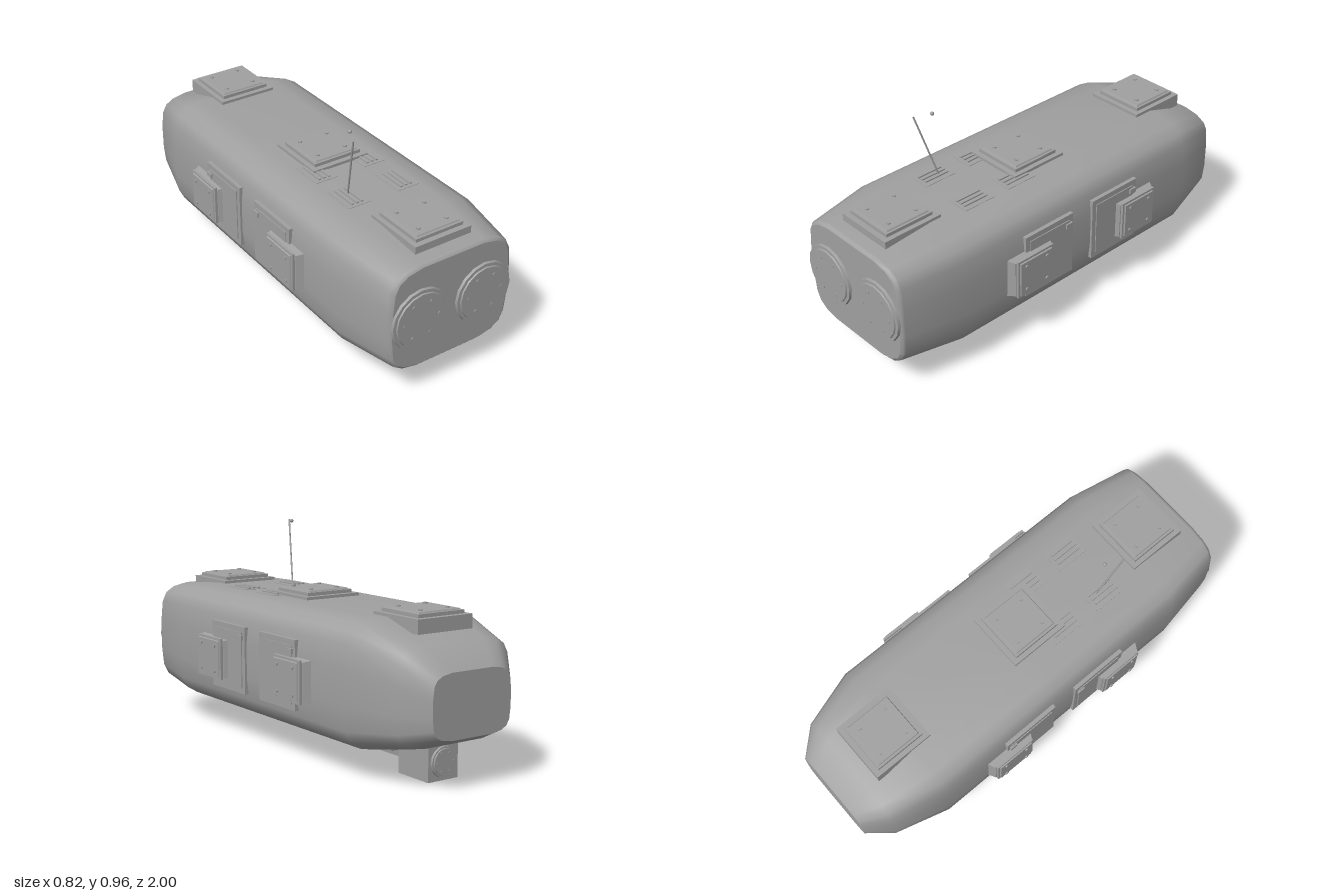
import * as THREE from 'three';

const hullGrey = new THREE.MeshStandardMaterial({ color: 0xa0a0a0 });
hullGrey.name = 'hullGrey';

// rounded-rectangle section, one quarter, normalised
const QUARTER = [[1, 0.28], [0.97, 0.65], [0.9, 0.83], [0.76, 0.94], [0.52, 1]];
const back = [...QUARTER].reverse();
const SECTION = [
  ...QUARTER,
  ...back.map(([x, y]) => [-x, y]),
  ...QUARTER.map(([x, y]) => [-x, -y]),
  ...back.map(([x, y]) => [x, -y]),
];

// skin through sections [z, halfWidth, bottom, top], running front to back
function loft(sections, capFront, capBack) {
  const pos = [], idx = [], n = SECTION.length;
  const ring = ([z, a, y0, y1]) => {
    const start = pos.length / 3;
    for (const [x, y] of SECTION) pos.push(x * a, (y0 + y1) / 2 + y * (y1 - y0) / 2, z);
    return start;
  };
  const starts = sections.map(ring);
  for (let i = 0; i + 1 < starts.length; i++) {
    for (let j = 0; j < n; j++) {
      const k = (j + 1) % n, p = starts[i], q = starts[i + 1];
      idx.push(p + j, q + j, p + k, p + k, q + j, q + k);
    }
  }
  const cap = (s, front) => {
    const r = ring(s), c = pos.length / 3;
    pos.push(0, (s[2] + s[3]) / 2, s[0]);
    for (let j = 0; j < n; j++) {
      const k = (j + 1) % n;
      idx.push(c, front ? r + j : r + k, front ? r + k : r + j);
    }
  };
  if (capFront) cap(sections[0], true);
  if (capBack) cap(sections[sections.length - 1], false);
  const g = new THREE.BufferGeometry();
  g.setAttribute('position', new THREE.Float32BufferAttribute(pos, 3));
  g.setIndex(idx);
  g.computeVertexNormals();
  return g;
}

function add(parent, name, geometry, x = 0, y = 0, z = 0) {
  const m = new THREE.Mesh(geometry, hullGrey);
  m.name = name;
  m.position.set(x, y, z);
  parent.add(m);
  return m;
}

// box whose top (+y) is scaled by sx, sz
function frustum(w, h, d, sx, sz) {
  const g = new THREE.BoxGeometry(w, h, d).toNonIndexed();
  const p = g.attributes.position;
  for (let i = 0; i < p.count; i++) {
    if (p.getY(i) > 0) p.setXYZ(i, p.getX(i) * sx, p.getY(i), p.getZ(i) * sz);
  }
  g.computeVertexNormals();
  return g;
}

const bolt = (r, h = 0.012) => new THREE.CylinderGeometry(r, r, h, 6);

// stacked plates with four bolts, facing +y from y = 0
function hatch(name, w, d, step, boltX, boltZ, boltR) {
  const g = new THREE.Group();
  g.name = name;
  add(g, 'hatchPlate', new THREE.BoxGeometry(w, step, d), 0, step / 2, 0);
  add(g, 'hatchCover', frustum(w - 0.02, 0.006, d - 0.02, 0.97, 0.97), 0, step + 0.003, 0);
  for (const x of [-boltX, boltX])
    for (const z of [-boltZ, boltZ]) add(g, 'hatchBolt', bolt(boltR), x, step + 0.006, z);
  return g;
}

// round bolted plate facing +y from y = 0
function roundPort(name, r, h, boltRing, boltR) {
  const g = new THREE.Group();
  g.name = name;
  add(g, 'portRim', new THREE.CylinderGeometry(r * 0.98, r, h, 16), 0, h / 2, 0);
  add(g, 'portCover', new THREE.CylinderGeometry(r * 0.86, r * 0.88, h * 0.6, 16), 0, h * 1.2, 0);
  for (let i = 0; i < 6; i++) {
    const a = i * Math.PI / 3;
    add(g, 'portBolt', bolt(boltR, 0.006), Math.cos(a) * boltRing, h * 1.5, Math.sin(a) * boltRing);
  }
  return g;
}

export function createModel() {
  const model = new THREE.Group();
  model.name = 'capsule';

  // hull and bevelled nose plate
  add(model, 'hull', loft([
    [0.96, 0.305, 0.14, 0.63], [0.68, 0.355, 0.115, 0.655], [0, 0.355, 0.115, 0.655],
    [-0.64, 0.355, 0.115, 0.655], [-0.89, 0.288, 0.166, 0.579], [-1, 0.2, 0.214, 0.482],
  ], false, true));
  add(model, 'nosePlate', loft([
    [0.977, 0.292, 0.15, 0.618], [0.97, 0.303, 0.142, 0.628], [0.96, 0.305, 0.14, 0.63],
  ], true, false));

  // two round ports on the nose
  for (const s of [-1, 1]) {
    const port = roundPort('nosePort', 0.141, 0.012, 0.086, 0.009);
    port.rotation.x = Math.PI / 2;
    port.position.set(s * 0.16, 0.383, 0.976);
    model.add(port);
  }

  // roof hatches
  for (const z of [0.765, 0.07, -0.69]) {
    add(model, 'roofHatchBase', new THREE.BoxGeometry(0.28, 0.06, 0.285), 0, 0.638, z);
    const h = hatch('roofHatch', 0.236, 0.236, 0.015, 0.07, 0.07, 0.009);
    h.position.set(0, 0.668, z);
    model.add(h);
  }

  // roof vents with slats
  for (const x of [-0.125, 0.125]) {
    for (const z of [0.445, 0.208]) {
      add(model, 'roofVent', new THREE.BoxGeometry(0.11, 0.02, 0.157), x, 0.647, z);
      for (const dx of [-0.024, 0, 0.024])
        add(model, 'ventSlat', new THREE.BoxGeometry(0.012, 0.008, 0.125), x + dx, 0.659, z);
    }
  }

  // antenna and its tip
  const foot = new THREE.Vector3(-0.113, 0.65, 0.42), tip = new THREE.Vector3(-0.155, 0.957, 0.51);
  add(model, 'antenna', new THREE.TubeGeometry(new THREE.LineCurve3(foot, tip), 1, 0.004, 8));
  add(model, 'antennaTip', new THREE.SphereGeometry(0.009, 10, 8), -0.12, 0.957, 0.437);

  // doors and side hatches, both sides
  for (const s of [-1, 1]) {
    for (const [doorZ, hatchZ] of [[0.222, 0.335], [-0.172, -0.293]]) {
      add(model, 'doorFrame', new THREE.BoxGeometry(0.03, 0.3, 0.275), s * 0.35, 0.385, doorZ);
      add(model, 'door', new THREE.BoxGeometry(0.01, 0.25, 0.23), s * 0.364, 0.385, doorZ);
      add(model, 'doorHandle', new THREE.BoxGeometry(0.012, 0.022, 0.036), s * 0.37, 0.487, doorZ - 0.108);

      const side = new THREE.Group();
      side.name = 'sideHatch';
      add(side, 'sideHatchBase', frustum(0.19, 0.05, 0.26, 0.88, 0.8), 0, -0.025, 0);
      side.add(hatch('sideHatchCover', 0.185, 0.2, 0.012, 0.058, 0.058, 0.008));
      side.rotation.z = -s * Math.PI / 2;
      side.position.set(s * 0.387, 0.373, hatchZ);
      model.add(side);
    }
  }

  // keel beam, narrower at its lower edge
  const keel = add(model, 'keel', frustum(0.05, 0.085, 1.375, 0.62, 1), 0, 0.0875, 0.0825);
  keel.rotation.z = Math.PI;

  // belly hatches
  for (const z of [0.475, -0.51]) {
    add(model, 'bellyHatchBase', new THREE.BoxGeometry(0.175, 0.03, 0.18), 0, 0.109, z);
    const h = hatch('bellyHatch', 0.145, 0.15, 0.012, 0.042, 0.045, 0.008);
    h.rotation.x = Math.PI;
    h.position.set(0, 0.095, z);
    model.add(h);
  }

  // rear thruster box with a round port
  add(model, 'thrusterBox', new THREE.BoxGeometry(0.154, 0.165, 0.19), 0, 0.0845, -0.735);
  const port = roundPort('thrusterPort', 0.066, 0.01, 0.042, 0.006);
  port.rotation.x = -Math.PI / 2;
  port.position.set(0, 0.08, -0.83);
  model.add(port);

  return model;
}
